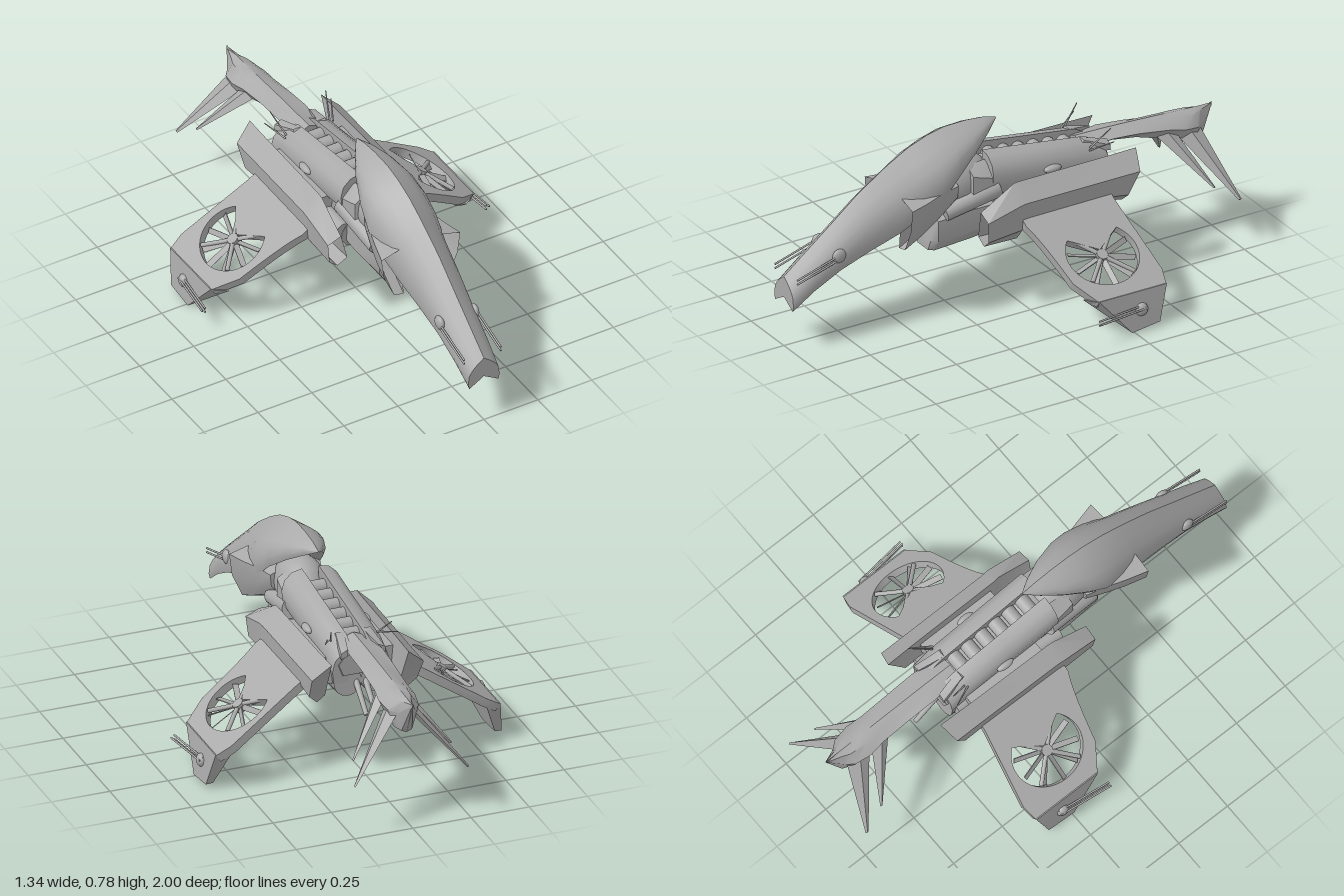
import * as THREE from 'three';
import { toCreasedNormals } from 'three/addons/utils/BufferGeometryUtils.js';

const V = (x, y, z) => new THREE.Vector3(x, y, z);

export function createModel() {
  const model = new THREE.Group();
  const hullGrey = new THREE.MeshStandardMaterial({ color: 0xaaaaaa, side: THREE.DoubleSide });

  const add = (parent, name, geo) => {
    const mesh = new THREE.Mesh(geo, hullGrey);
    mesh.name = name;
    parent.add(mesh);
    return mesh;
  };

  // Skin between rings of points; rings run counter-clockwise seen from the first ring's side
  const loft = (rings, { front = true, back = true, crease = 0.6 } = {}) => {
    const n = rings[0].length, pos = [], idx = [];
    rings.forEach(r => r.forEach(p => pos.push(...p)));
    for (let i = 0; i < rings.length - 1; i++) {
      for (let j = 0; j < n; j++) {
        const a = i * n + j, b = i * n + (j + 1) % n;
        idx.push(a, a + n, b + n, a, b + n, b);
      }
    }
    const last = (rings.length - 1) * n;
    for (let j = 1; j < n - 1; j++) {
      if (front) idx.push(0, j, j + 1);
      if (back) idx.push(last, last + j + 1, last + j);
    }
    const geo = new THREE.BufferGeometry();
    geo.setAttribute('position', new THREE.Float32BufferAttribute(pos, 3));
    geo.setIndex(idx);
    return toCreasedNormals(geo, crease);
  };

  // Mirrors a half section (bottom centre, right side, top centre) into a ring
  const symmetric = half => [...half, ...half.slice(1, -1).reverse().map(([x, y, z]) => [-x, y, z])];

  // Round bar between two points
  const rod = (parent, name, a, b, r, r2 = r) => {
    const d = b.clone().sub(a);
    const m = add(parent, name, new THREE.CylinderGeometry(r2, r, d.length(), 16));
    m.position.copy(a).addScaledVector(d, 0.5);
    m.quaternion.setFromUnitVectors(V(0, 1, 0), d.normalize());
    return m;
  };

  const ball = (parent, name, p, sx, sy = sx, sz = sx) => {
    const m = add(parent, name, new THREE.SphereGeometry(1, 20, 14));
    m.position.copy(p);
    m.scale.set(sx, sy, sz);
    return m;
  };

  // Long hooked head shell with a ridge on top and grooves underneath: z, top, lip, half width
  const head = [
    [1, 0.31, 0.18, 0.073], [0.9, 0.39, 0.25, 0.08], [0.78, 0.485, 0.315, 0.087], [0.65, 0.59, 0.37, 0.1],
    [0.52, 0.675, 0.42, 0.115], [0.42, 0.73, 0.48, 0.134], [0.33, 0.763, 0.53, 0.14], [0.25, 0.78, 0.6, 0.125],
    [0.15, 0.782, 0.67, 0.088], [0.07, 0.775, 0.72, 0.045], [0.01, 0.76, 0.755, 0.003]
  ].map(([z, t, b, w]) => {
    const h = t - b;
    return symmetric([[0, b + 0.3 * h, z], [0.5 * w, b + 0.26 * h, z], [0.92 * w, b, z], [w, b + 0.18 * h, z],
      [0.93 * w, t - 0.53 * h, z], [0.75 * w, t - 0.36 * h, z], [0.45 * w, t - 0.19 * h, z], [0, t, z]]);
  });
  add(model, 'headShell', loft(head));

  // Neck and chin block
  ball(model, 'neckBall', V(0, 0.53, 0.2), 0.1, 0.12, 0.15);
  ball(model, 'neckJoint', V(0, 0.5, 0.05), 0.1, 0.1, 0.12);
  add(model, 'chinBlock', loft([[0.35, 0.27, 0.34, 0.06], [0.33, 0.27, 0.43, 0.085], [0.17, 0.285, 0.45, 0.1],
    [0.02, 0.3, 0.45, 0.1]].map(([z, b, t, w]) =>
    symmetric([[0, b, z], [0.65 * w, b, z], [w, b + 0.05, z], [w, t - 0.02, z], [0.6 * w, t, z], [0, t, z]]))));

  // Core of the fuselage and ribbed spine
  add(model, 'fuselageCore', loft([[0.08, 0.38, 0.58], [-0.36, 0.4, 0.54], [-0.46, 0.44, 0.53]].map(([z, b, t]) =>
    symmetric([[0, b, z], [0.08, b, z], [0.1, b + 0.05, z], [0.07, t, z], [0, t, z]]))));
  for (let i = 0; i < 6; i++) {
    const z = 0.03 - i * 0.07, y = 0.59 - i * 0.009;
    rod(model, 'spineRib', V(-0.034, y, z), V(0.034, y, z), 0.03);
  }

  // Tail boom with deepening keel: z, top, bottom, half width
  add(model, 'tailBoom', loft([[-0.36, 0.575, 0.5, 0.06], [-0.5, 0.572, 0.525, 0.072], [-0.62, 0.567, 0.505, 0.07],
    [-0.76, 0.56, 0.46, 0.07], [-0.83, 0.555, 0.43, 0.078], [-0.9, 0.553, 0.405, 0.066], [-0.935, 0.552, 0.4, 0.038],
    [-1, 0.55, 0.545, 0.002]].map(([z, t, b, w]) =>
    symmetric([[0, b, z], [0.6 * w, b + 0.01, z], [w, t - 0.4 * (t - b), z], [0.5 * w, t - 0.012, z], [0, t, z]]))));

  // Everything below is built once on the left and mirrored
  const side = new THREE.Group();
  side.name = 'leftSide';

  // Cheek scoop
  add(side, 'cheekScoop', loft([
    [[0.08, 0.34, 0.51], [0.125, 0.35, 0.51], [0.17, 0.45, 0.51], [0.182, 0.545, 0.51], [0.1, 0.568, 0.51]],
    [[0.07, 0.38, 0.42], [0.115, 0.39, 0.42], [0.15, 0.46, 0.42], [0.158, 0.55, 0.42], [0.09, 0.57, 0.42]],
    [[0.05, 0.42, 0.34], [0.1, 0.43, 0.34], [0.13, 0.48, 0.34], [0.135, 0.56, 0.34], [0.07, 0.58, 0.34]],
    [[0.05, 0.47, 0.25], [0.08, 0.48, 0.25], [0.105, 0.51, 0.25], [0.11, 0.56, 0.25], [0.06, 0.58, 0.25]]
  ], { front: false }));
  rod(side, 'neckPiston', V(0.08, 0.44, 0.3), V(0.09, 0.5, 0.06), 0.035, 0.045);
  add(side, 'neckFin', loft([
    [[0.06, 0.46, 0.2], [0.11, 0.48, 0.18], [0.11, 0.58, 0.18], [0.06, 0.61, 0.18]],
    [[0.06, 0.5, 0.05], [0.12, 0.5, 0.06], [0.12, 0.55, 0.07], [0.06, 0.62, 0.1]]
  ]));

  // Nose gun
  ball(side, 'noseGunBall', V(0.08, 0.38, 0.79), 0.016, 0.03, 0.03);
  for (const dy of [-0.008, 0.01]) {
    rod(side, 'noseGunBarrel', V(0.086, 0.375 + dy, 0.79), V(0.085, 0.315 + dy, 0.99), 0.004);
  }

  // Upper back shell beside the spine
  add(side, 'backShell', loft([[0.095, 0.65], [-0.15, 0.615], [-0.38, 0.582], [-0.45, 0.545]].map(([z, t]) => [
    [0.035, t - 0.1, z], [0.09, t - 0.18, z], [0.118, t - 0.14, z], [0.124, t - 0.085, z], [0.112, t - 0.04, z],
    [0.08, t - 0.01, z], [0.036, t, z]
  ]), { crease: 0.9 }));
  ball(side, 'shellKnob', V(0.125, 0.53, -0.18), 0.018, 0.016, 0.04);
  add(side, 'tailClamp', loft([
    [[0.04, 0.55, -0.32], [0.075, 0.55, -0.32], [0.075, 0.585, -0.36], [0.04, 0.585, -0.36]],
    [[0.065, 0.53, -0.47], [0.095, 0.52, -0.47], [0.095, 0.545, -0.47], [0.065, 0.56, -0.47]]
  ]));
  rod(side, 'antenna', V(0.1, 0.56, -0.37), V(0.13, 0.64, -0.45), 0.004, 0.002);
  rod(side, 'antenna', V(0.11, 0.555, -0.36), V(0.155, 0.59, -0.45), 0.004, 0.002);

  // Belly tubes and rear gun
  rod(side, 'bellyTube', V(0.058, 0.37, 0.1), V(0.058, 0.405, -0.45), 0.066, 0.06);
  rod(side, 'bellyPipe', V(0.115, 0.4, 0.1), V(0.115, 0.43, -0.43), 0.032);
  rod(side, 'rearGun', V(0.02, 0.42, -0.42), V(0.02, 0.3, -0.555), 0.013, 0.01);

  // Side pod with open, drooping intake: inner bottom, outer bottom, outer top, inner top
  add(side, 'sidePod', loft([
    [[0.145, 0.33, 0.18], [0.19, 0.305, 0.18], [0.23, 0.34, 0.185], [0.24, 0.43, 0.19], [0.18, 0.455, 0.19]],
    [[0.15, 0.33, 0.03], [0.195, 0.305, 0.03], [0.238, 0.36, 0.03], [0.245, 0.475, 0.03], [0.175, 0.543, 0.03]],
    [[0.155, 0.4, 0.0], [0.2, 0.38, 0.0], [0.238, 0.4, 0.0], [0.242, 0.475, 0.0], [0.172, 0.543, 0.0]],
    [[0.155, 0.39, -0.38], [0.195, 0.365, -0.38], [0.235, 0.395, -0.38], [0.24, 0.475, -0.4], [0.168, 0.543, -0.42]],
    [[0.16, 0.37, -0.46], [0.195, 0.345, -0.46], [0.232, 0.38, -0.47], [0.24, 0.475, -0.52], [0.165, 0.543, -0.545]]
  ], { front: false, crease: 0.4 }));
  const podMount = add(side, 'podMount', new THREE.BoxGeometry(0.085, 0.07, 0.36));
  podMount.position.set(0.122, 0.46, -0.2);

  // Drooping wing: local x runs out along the span, local y is the model's z
  const wing = new THREE.Group();
  wing.name = 'wing';
  const droop = 0.581, c = Math.cos(droop), s = Math.sin(droop);
  wing.applyMatrix4(new THREE.Matrix4().makeBasis(V(c, -s, 0), V(0, 0, 1), V(-s, -c, 0)).setPosition(0.2, 0.432, 0));
  side.add(wing);
  const outline = new THREE.Shape();
  outline.moveTo(0, 0.03);
  outline.lineTo(0, -0.385);
  outline.lineTo(0.08, -0.39);
  outline.lineTo(0.42, -0.43);
  outline.lineTo(0.49, -0.415);
  outline.lineTo(0.49, -0.1);
  outline.lineTo(0.38, -0.035);
  outline.quadraticCurveTo(0.15, 0.0, 0.08, 0.03);
  // Round fan opening with a solid wedge on the root side
  const hole = new THREE.Path();
  const wedge = Math.PI * 0.74;
  hole.moveTo(0.265, -0.22);
  hole.absellipse(0.287, -0.22, 0.143, 0.157, wedge, -wedge, true);
  hole.lineTo(0.265, -0.22);
  outline.holes.push(hole);
  add(wing, 'wingPanel', toCreasedNormals(new THREE.ExtrudeGeometry(outline,
    { depth: 0.036, bevelEnabled: false, curveSegments: 24 }), 0.5));

  // Lift fan inside the wing
  const fan = new THREE.Group();
  fan.name = 'liftFan';
  fan.position.set(0.287, -0.22, 0.017);
  wing.add(fan);
  rod(fan, 'fanHub', V(0, 0, -0.018), V(0, 0, 0.02), 0.024);
  for (let i = 0; i < 10; i++) {
    const arm = new THREE.Group();
    arm.name = 'fanBladeArm';
    arm.rotation.z = i * Math.PI / 5;
    const blade = add(arm, 'fanBlade', new THREE.BoxGeometry(0.125, 0.024, 0.004));
    blade.position.x = 0.08;
    blade.rotation.x = 0.6;
    fan.add(arm);
  }
  for (const a of [0.75, -0.75]) {
    const p = V(Math.cos(a) * 0.145, Math.sin(a) * 0.145, -0.008);
    rod(fan, 'fanStrut', p, V(-p.x, -p.y, p.z), 0.009);
  }

  // Winglet hanging from the wing tip
  add(side, 'winglet', loft([
    [[0.612, 0.165, -0.1], [0.612, 0.165, -0.415], [0.55, 0.16, -0.425], [0.55, 0.16, -0.06]],
    [[0.635, 0.0, -0.24], [0.635, 0.018, -0.37], [0.605, 0.02, -0.37], [0.605, 0.01, -0.24]]
  ]));
  ball(side, 'tipGunBall', V(0.622, 0.088, -0.29), 0.022, 0.028, 0.028);
  for (const [x, y] of [[0.012, 0.002], [0.012, 0.02], [0.026, 0.011]]) {
    rod(side, 'tipGunBarrel', V(0.612 + x, 0.085 + y, -0.31), V(0.64 + x, 0.082 + y, -0.075), 0.004);
  }

  // Two straight swept tail fins: root point, tip point, root half chord
  for (const [root, tip, chord] of [[[0.03, 0.49, -0.86], [0.243, 0.225, -0.985], 0.06],
    [[0.04, 0.5, -0.755], [0.21, 0.29, -0.885], 0.045]]) {
    add(side, 'tailFin', loft([0, 0.35, 0.7, 1].map(t => {
      const k = chord * (1 - 0.88 * t), th = 0.013 * (1 - 0.75 * t);
      const [x, y, z] = root.map((v, a) => v + (tip[a] - v) * t);
      return [[x, y, z + k], [x - th, y - th, z], [x, y, z - k], [x + th, y + th, z]];
    })));
  }

  const right = side.clone();
  right.name = 'rightSide';
  right.scale.x = -1;
  model.add(side, right);
  return model;
}
